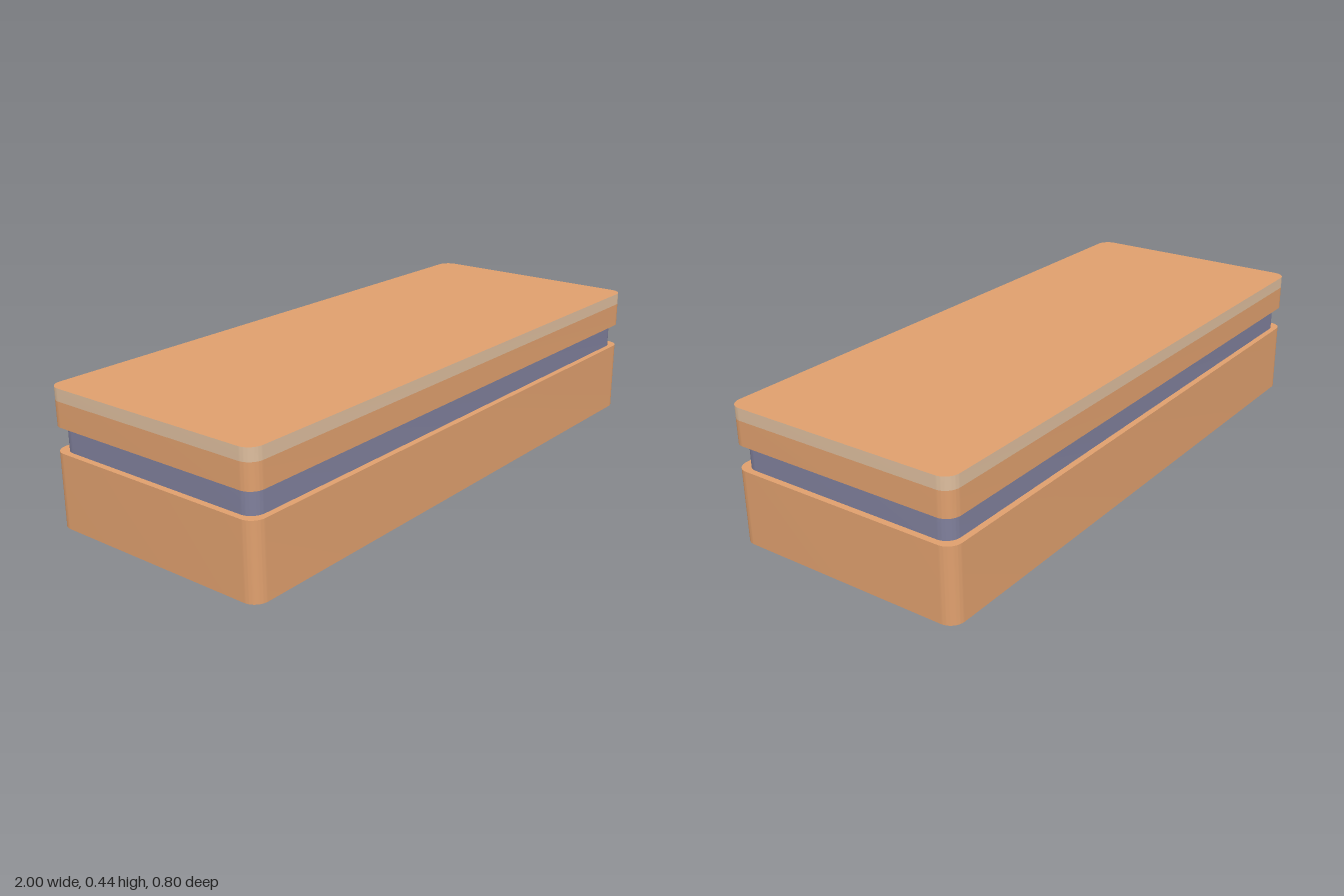
import * as THREE from 'three';
import { toCreasedNormals } from 'three/addons/utils/BufferGeometryUtils.js';

const orange = new THREE.MeshStandardMaterial({ color: 0xe0a06e });
const beige = new THREE.MeshStandardMaterial({ color: 0xdebe9e });
const slate = new THREE.MeshStandardMaterial({ color: 0x80809c });

// Rounded rectangle outline, centred on the origin
function roundedRect(hx, hz, r) {
  const s = new THREE.Shape();
  s.absarc(hx - r, hz - r, r, 0, Math.PI / 2);
  s.absarc(-hx + r, hz - r, r, Math.PI / 2, Math.PI);
  s.absarc(-hx + r, -hz + r, r, Math.PI, Math.PI * 1.5);
  s.absarc(hx - r, -hz + r, r, Math.PI * 1.5, Math.PI * 2);
  s.closePath();
  return s;
}

// Horizontal slab with rounded vertical corners, from y0 to y1
function slab(name, inset, y0, y1, capMaterial, sideMaterial) {
  const outline = roundedRect(1 - inset, 0.4 - inset, 0.045);
  let geo = new THREE.ExtrudeGeometry(outline, { depth: y1 - y0, bevelEnabled: false, curveSegments: 10 });
  geo.rotateX(-Math.PI / 2).translate(0, y0, 0);
  geo = toCreasedNormals(geo, Math.PI / 6);
  const mesh = new THREE.Mesh(geo, [capMaterial, sideMaterial]);
  mesh.name = name;
  return mesh;
}

export function createModel() {
  const model = new THREE.Group();
  model.name = 'layeredBlock';
  model.add(
    slab('base', 0, 0, 0.24, orange, orange),
    slab('recessedBand', 0.02, 0.24, 0.32, slate, slate),
    slab('lid', 0, 0.32, 0.4, orange, orange),
    // Pale rim with a top face matching the lid
    slab('lidRim', 0, 0.4, 0.44, orange, beige)
  );
  return model;
}
